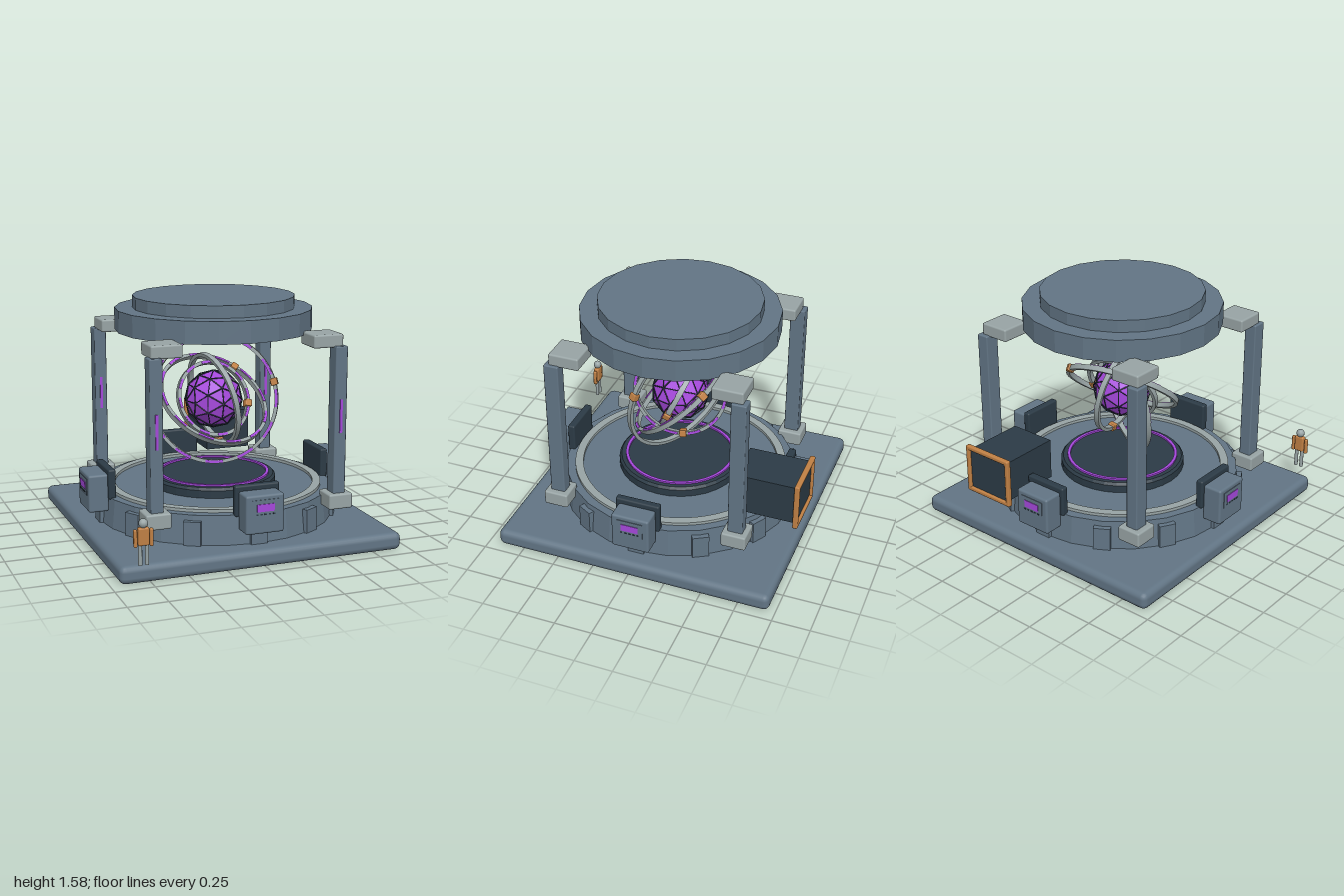
import * as THREE from 'three';
import { RoundedBoxGeometry } from 'three/addons/geometries/RoundedBoxGeometry.js';

const mat = (name, color, extra = {}) => {
  const m = new THREE.MeshStandardMaterial({ color, ...extra });
  m.name = name;
  return m;
};

export function createModel() {
  const slate = mat('slate', 0x627585);
  const slateFlat = slate.clone();
  slateFlat.flatShading = true;
  const trim = mat('paleTrim', 0x98a4a5);
  const dark = mat('darkPanel', 0x2c3b46);
  const purple = mat('purpleGlow', 0xa548dc);
  const purpleFlat = purple.clone();
  purpleFlat.flatShading = true;
  const orange = mat('copper', 0xc08044);

  const root = new THREE.Group();
  const station = new THREE.Group();
  station.name = 'station';
  station.position.z = -0.015;
  root.add(station);

  const add = (parent, name, geo, material, x = 0, y = 0, z = 0) => {
    const m = new THREE.Mesh(geo, material);
    m.name = name;
    m.position.set(x, y, z);
    parent.add(m);
    return m;
  };
  const box = (w, h, d, r = 0) =>
    r ? new RoundedBoxGeometry(w, h, d, 2, r) : new THREE.BoxGeometry(w, h, d);
  // Flat annular arc in the xy plane, extruded along z and centred on it
  const band = (inner, outer, depth, a0 = 0, a1 = Math.PI * 2, segs = 64) => {
    const s = new THREE.Shape();
    const full = a1 - a0 > 6.28;
    s.absarc(0, 0, outer, a0, a1, false);
    if (full) s.holes.push(new THREE.Path().absarc(0, 0, inner, 0, Math.PI * 2, true));
    else s.absarc(0, 0, inner, a1, a0, true);
    return new THREE.ExtrudeGeometry(s, { depth, bevelEnabled: false, curveSegments: segs })
      .translate(0, 0, -depth / 2);
  };
  const flatBand = (inner, outer, h) => band(inner, outer, h).rotateX(-Math.PI / 2);

  // Base slab and drum
  add(station, 'baseSlab', box(1.885, 0.115, 1.885, 0.04), slate, 0, 0.0575, 0);
  add(station, 'drum', new THREE.CylinderGeometry(0.785, 0.805, 0.195, 24), slateFlat, 0, 0.2075, 0);
  add(station, 'drumTrimRing', flatBand(0.67, 0.725, 0.025), trim, 0, 0.3125, 0);
  for (let i = 0; i < 12; i++) {
    const a = (i * Math.PI) / 6;
    const p = add(station, 'drumPanel', box(0.11, 0.155, 0.04), slate,
      Math.sin(a) * 0.8, 0.1925, Math.cos(a) * 0.8);
    p.rotation.y = a;
  }

  // Central pedestal with a glowing ring
  const pedestalProfile = [[0, 0.3], [0.42, 0.3], [0.42, 0.355], [0.405, 0.372], [0, 0.372]]
    .map(([x, y]) => new THREE.Vector2(x, y));
  const darkFlat = dark.clone();
  darkFlat.flatShading = true;
  add(station, 'pedestal', new THREE.LatheGeometry(pedestalProfile, 32), darkFlat);
  add(station, 'pedestalGlowRing', flatBand(0.355, 0.375, 0.012), purple, 0, 0.378, 0);

  // Corner columns with feet, caps and light strips
  for (const sx of [-1, 1]) for (const sz of [-1, 1]) {
    const x = sx * 0.62, z = sz * 0.62;
    add(station, 'column', box(0.084, 1.0, 0.1, 0.008), slate, x, 0.805, z);
    add(station, 'columnFoot', box(0.165, 0.1, 0.165, 0.012), trim, x, 0.29, z);
    add(station, 'columnCap', box(0.205, 0.085, 0.205, 0.012), trim, sx * 0.54, 1.338, sz * 0.54);
    add(station, 'columnLight', box(0.018, 0.22, 0.008), purple, x, 0.852, z + 0.053);
  }

  // Roof discs and underside ring
  add(station, 'roofDisc', new THREE.CylinderGeometry(0.655, 0.655, 0.145, 20), slateFlat, 0, 1.43, 0);
  add(station, 'roofTopDisc', new THREE.CylinderGeometry(0.537, 0.537, 0.08, 20), slateFlat, 0, 1.542, 0);
  const under = add(station, 'roofUndersideRing', new THREE.TorusGeometry(0.53, 0.009, 6, 48), orange, 0, 1.357, 0);
  under.rotation.x = Math.PI / 2;

  // Four consoles facing outwards
  for (let i = 0; i < 4; i++) {
    const c = new THREE.Group();
    c.name = 'console';
    c.rotation.y = (i * Math.PI) / 2;
    add(c, 'consoleBody', box(0.255, 0.25, 0.135, 0.015), slate, 0, 0.335, 0.8425);
    add(c, 'consoleBackPanel', box(0.3, 0.2, 0.05, 0.012), dark, 0, 0.393, 0.757);
    add(c, 'consoleScreenFrame', box(0.175, 0.11, 0.006), slate, 0, 0.375, 0.911);
    add(c, 'consoleScreen', box(0.116, 0.048, 0.006), purple, 0, 0.379, 0.915);
    for (let k = -2; k <= 2; k++)
      add(c, 'consoleButton', box(0.014, 0.008, 0.004), dark, k * 0.028, 0.338, 0.915);
    station.add(c);
  }

  // Faceted core in a strut cage
  const core = new THREE.Group();
  core.name = 'core';
  core.position.y = 0.878;
  station.add(core);
  add(core, 'coreSphere', new THREE.IcosahedronGeometry(0.19, 1), purpleFlat);
  const edges = new THREE.EdgesGeometry(new THREE.IcosahedronGeometry(0.196, 1), 1).attributes.position;
  const up = new THREE.Vector3(0, 1, 0);
  for (let i = 0; i < edges.count; i += 2) {
    const a = new THREE.Vector3().fromBufferAttribute(edges, i);
    const b = new THREE.Vector3().fromBufferAttribute(edges, i + 1);
    const d = b.clone().sub(a);
    const s = add(core, 'cageStrut', new THREE.CylinderGeometry(0.004, 0.004, d.length(), 4), dark);
    s.position.copy(a.add(b).multiplyScalar(0.5));
    s.quaternion.setFromUnitVectors(up, d.normalize());
  }

  // Gyro rings: radius, axis, and the direction of the copper node
  const rings = [
    [0.425, [-0.48, 0.15, 0.86], [0.355, 0.13, 0.205]],
    [0.375, [0.15, 0.76, 0.63], [0.24, 0.15, -0.24]],
    [0.308, [0.97, 0.2, -0.15], [0.055, -0.295, -0.04]],
    [0.252, [0.09, 0.43, 0.9], [0.24, -0.05, 0]],
  ];
  for (const [r, axis, node] of rings) {
    const g = new THREE.Group();
    g.name = 'gyroRing';
    const n = new THREE.Vector3(...axis).normalize();
    const u = new THREE.Vector3(...node);
    u.addScaledVector(n, -u.dot(n)).normalize();
    g.quaternion.setFromRotationMatrix(new THREE.Matrix4().makeBasis(u, n.clone().cross(u), n));
    core.add(g);
    add(g, 'ringBand', band(r - 0.012, r + 0.012, 0.034), trim);
    for (let k = 0; k < 12; k++) {
      const a = ((k + 0.5) * Math.PI) / 6;
      add(g, 'ringLight', band(r - 0.008, r + 0.008, 0.006, a - 0.14, a + 0.14, 6), purple, 0, 0, 0.018);
    }
    add(g, 'ringNode', box(0.048, 0.048, 0.05, 0.006), orange, r, 0, 0);
  }

  // Rear display box with a copper frame
  const display = new THREE.Group();
  display.name = 'rearDisplay';
  display.position.set(0.317, 0.511, 0);
  add(display, 'displayBox', box(0.318, 0.275, 0.41), dark, 0, 0, -0.77);
  for (const s of [-1, 1]) {
    add(display, 'frameSide', box(0.03, 0.33, 0.035, 0.01), orange, s * 0.17, 0, -0.982);
    add(display, 'frameRail', box(0.37, 0.03, 0.035, 0.01), orange, 0, s * 0.15, -0.982);
  }
  add(display, 'displayScreen', box(0.312, 0.272, 0.008), dark, 0, 0, -0.978);
  root.add(display);

  // Scale figure beside the slab
  const figure = new THREE.Group();
  figure.name = 'figure';
  figure.position.set(-0.812, 0, 0.971);
  add(figure, 'head', new THREE.SphereGeometry(0.029, 12, 8), trim, 0, 0.395, 0);
  add(figure, 'torso', box(0.068, 0.11, 0.04, 0.01), orange, 0, 0.315, 0);
  for (const s of [-1, 1]) {
    add(figure, 'arm', box(0.022, 0.11, 0.026, 0.008), orange, s * 0.05, 0.305, 0);
    add(figure, 'leg', new THREE.CylinderGeometry(0.013, 0.013, 0.13, 8), trim, s * 0.021, 0.202, 0);
  }
  root.add(figure);

  return root;
}
